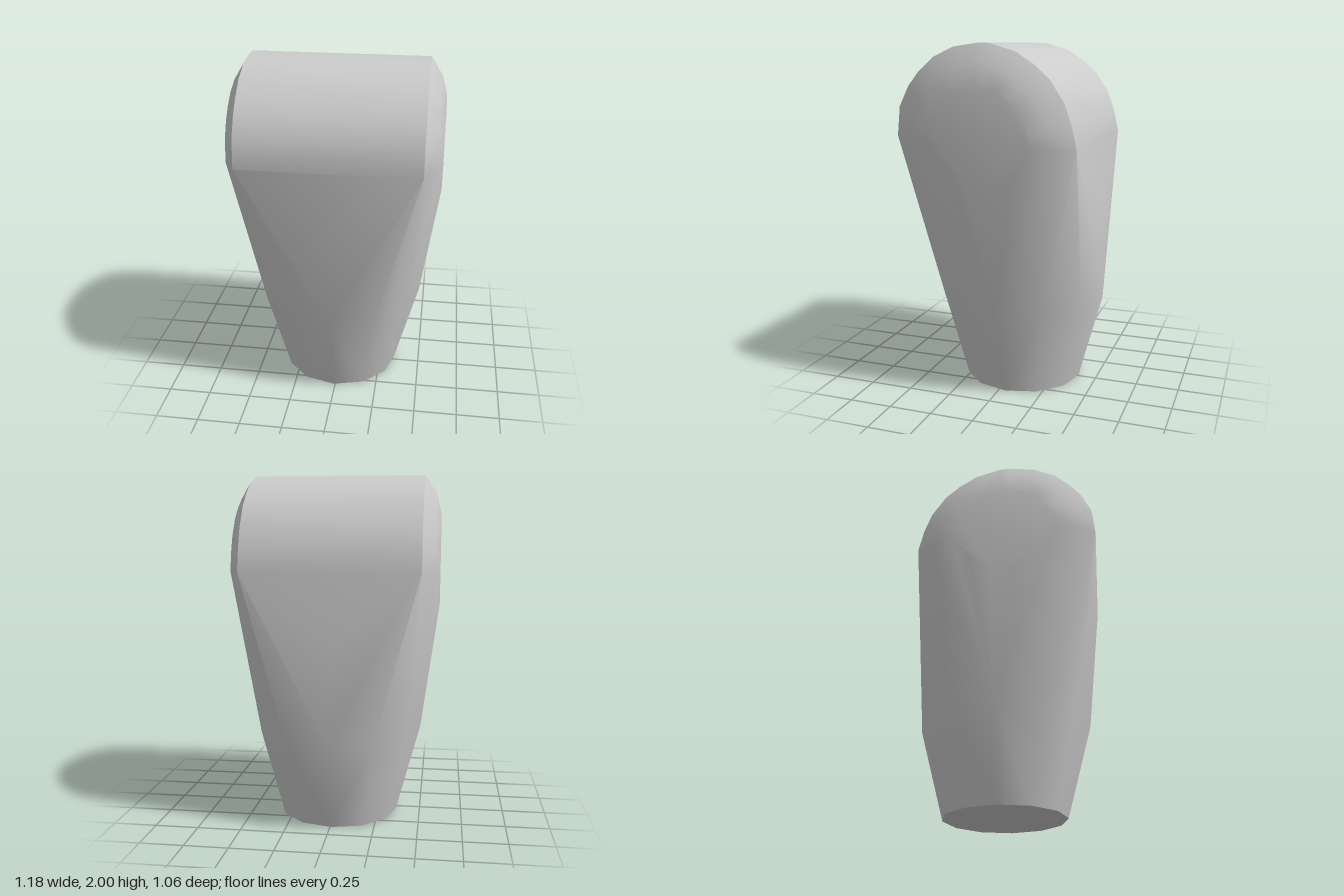
import * as THREE from 'three';
import { ConvexGeometry } from 'three/addons/geometries/ConvexGeometry.js';
import { toCreasedNormals } from 'three/addons/utils/BufferGeometryUtils.js';

const MID_X = -0.007; // the body sits a touch off centre

// Arched outline of the head as [z, y], front to back
const ARCH = [
  [0.532, 1.5], [0.515, 1.66], [0.46, 1.77], [0.4, 1.845], [0.31, 1.925], [0.19, 1.98],
  [0.05, 2], [-0.01, 2], [-0.16, 1.955], [-0.26, 1.89], [-0.34, 1.82], [-0.42, 1.7],
  [-0.46, 1.59], [-0.49, 1.46],
];

// Horizontal ring of the tapering stem
function stemRing(y, radius, sides = 12) {
  return Array.from({ length: sides }, (_, i) => {
    const a = (i / sides) * Math.PI * 2;
    return new THREE.Vector3(MID_X + radius * Math.cos(a), y, -0.04 + radius * Math.sin(a));
  });
}

// Arch shrunk about the head's centre, placed at the given x
function archRing(x, scale) {
  return ARCH.map(([z, y]) => new THREE.Vector3(
    MID_X + x, 1.48 + (y - 1.48) * scale, 0.02 + (z - 0.02) * scale));
}

export function createModel() {
  const points = [
    ...stemRing(0, 0.35),
    ...stemRing(0.52, 0.49),
    new THREE.Vector3(MID_X, 1.06, -0.532), // peak of the stem on the back
  ];

  // Head rim, rounded shoulder and flat cheek on both sides
  for (const side of [1, -1]) {
    points.push(...archRing(side * 0.498, 1), ...archRing(side * 0.563, 0.8), ...archRing(side * 0.592, 0.58));
    for (const [z, y] of [[0.2, 1.36], [0.09, 1.26], [-0.06, 1.26], [-0.18, 1.36]]) {
      points.push(new THREE.Vector3(MID_X + side * 0.592, y, z));
    }
  }

  // One solid wrapped around all sections, smooth except at the rim and base
  const geometry = toCreasedNormals(new ConvexGeometry(points), THREE.MathUtils.degToRad(38));
  const body = new THREE.Mesh(geometry, new THREE.MeshStandardMaterial({ color: 0xcccccc }));
  body.name = 'taperedBody';

  const group = new THREE.Group();
  group.name = 'roundedHeadBlock';
  group.add(body);
  return group;
}
